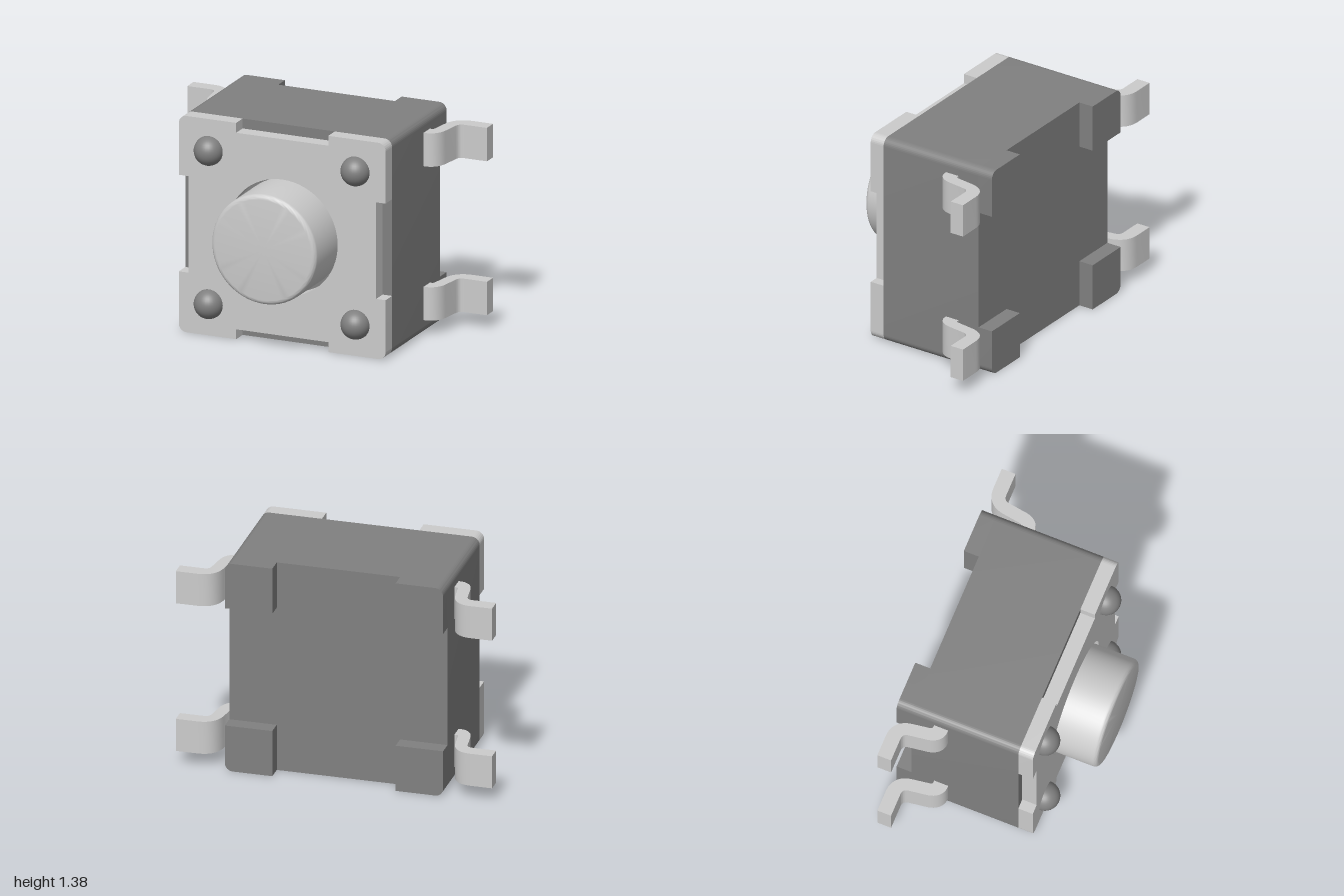
import * as THREE from 'three';
import { toCreasedNormals } from 'three/addons/utils/BufferGeometryUtils.js';

const W = 0.69, CY = 0.692, R = 0.05;
const metal = new THREE.MeshStandardMaterial({ color: 0xcccccc });
const plastic = new THREE.MeshStandardMaterial({ color: 0x808080 });

function extrude(shape, depth) {
  const geo = new THREE.ExtrudeGeometry(shape, { depth, bevelEnabled: false, curveSegments: 12 });
  return toCreasedNormals(geo, 0.6);
}

// Square outline with rounded corners; optional notches in the middle of each side
function squareOutline(notchHalf = 0, notchDepth = 0) {
  const s = new THREE.Shape();
  for (let i = 0; i < 4; i++) {
    const a = i * Math.PI / 2, c = Math.cos(a), n = Math.sin(a);
    const line = (x, y) => s.lineTo(x * c - y * n, x * n + y * c);
    if (i === 0) s.moveTo(W, -W + R);
    if (notchDepth) {
      line(W, -notchHalf);
      line(W - notchDepth, -notchHalf);
      line(W - notchDepth, notchHalf);
      line(W, notchHalf);
    }
    line(W, W - R);
    const k = W - R;
    s.absarc(k * c - k * n, k * n + k * c, R, a, a + Math.PI / 2, false);
  }
  return s;
}

export function createModel() {
  const root = new THREE.Group();
  const add = (name, geo, mat, x, y, z) => {
    const mesh = new THREE.Mesh(geo, mat);
    mesh.name = name;
    mesh.position.set(x, y, z);
    root.add(mesh);
    return mesh;
  };

  // Housing block
  add('housing', extrude(squareOutline(), 0.7), plastic, 0, CY, -0.49);

  // Cover plate with edge notches and a round opening
  const plate = squareOutline(0.308, 0.063);
  const hole = new THREE.Path();
  hole.absarc(0, 0, 0.37, 0, Math.PI * 2, true);
  plate.holes.push(hole);
  const plateGeo = new THREE.ExtrudeGeometry(plate, { depth: 0.095, bevelEnabled: false, curveSegments: 32 });
  add('coverPlate', toCreasedNormals(plateGeo, 0.6), metal, 0, CY, 0.21);

  // Push button with a rounded rim
  const profile = [new THREE.Vector2(0.35, 0)];
  for (let i = 0; i <= 6; i++) {
    const a = i / 6 * Math.PI / 2;
    profile.push(new THREE.Vector2(0.32 + 0.03 * Math.cos(a), 0.345 + 0.03 * Math.sin(a)));
  }
  profile.push(new THREE.Vector2(0, 0.375));
  const button = new THREE.LatheGeometry(profile, 64).rotateX(Math.PI / 2);
  add('button', toCreasedNormals(button, 0.6), metal, 0, CY, 0.21);

  // Foot: square with its outer corner rounded
  const foot = new THREE.Shape();
  foot.moveTo(0.39, 0.39);
  foot.lineTo(W, 0.39);
  foot.lineTo(W, W - R);
  foot.absarc(W - R, W - R, R, 0, Math.PI / 2, false);
  foot.lineTo(0.39, W);
  const footGeo = extrude(foot, 0.1);

  // Bent lead: profile in x and -z, extruded along the height
  const lead = new THREE.Shape();
  lead.moveTo(1, 0.588);
  lead.lineTo(0.865, 0.588);
  lead.bezierCurveTo(0.79, 0.588, 0.745, 0.545, 0.733, 0.47);
  lead.lineTo(0.716, 0.355);
  lead.quadraticCurveTo(0.713, 0.342, 0.70, 0.342);
  lead.lineTo(0.66, 0.342);
  lead.lineTo(0.66, 0.25);
  lead.lineTo(0.70, 0.25);
  lead.bezierCurveTo(0.75, 0.25, 0.785, 0.29, 0.793, 0.345);
  lead.lineTo(0.81, 0.465);
  lead.quadraticCurveTo(0.816, 0.498, 0.85, 0.498);
  lead.lineTo(1, 0.498);
  const leadGeo = extrude(lead, 0.213).translate(0, 0, -0.1065).rotateX(-Math.PI / 2);

  const pinGeo = new THREE.SphereGeometry(0.093, 32, 20);

  // Four corners: foot, lead and rivet pin at each
  for (let i = 0; i < 4; i++) {
    const sx = i === 0 || i === 3 ? 1 : -1, sy = i < 2 ? 1 : -1;
    add('foot', footGeo, plastic, 0, CY, -0.588).rotation.z = i * Math.PI / 2;
    add('lead', leadGeo, metal, 0, CY + sy * 0.491, 0).rotation.z = sx > 0 ? 0 : Math.PI;
    add('rivetPin', pinGeo, plastic, sx * 0.49, CY + sy * 0.489, 0.304);
  }
  return root;
}
